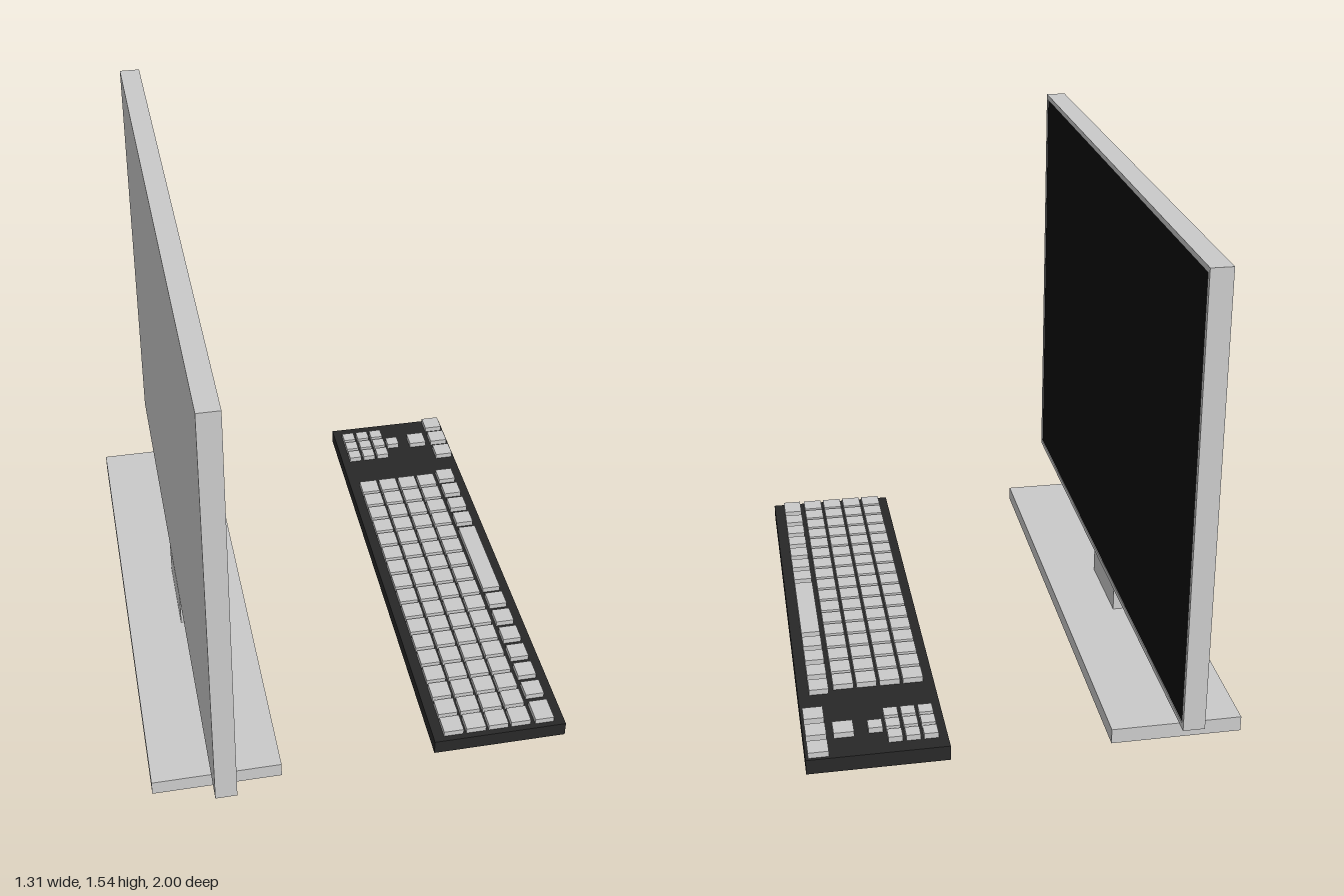
import * as THREE from 'three';

const grey = new THREE.MeshStandardMaterial({ color: 0xcccccc });
const dark = new THREE.MeshStandardMaterial({ color: 0x282828 });
const black = new THREE.MeshStandardMaterial({ color: 0x0e0e0e });

// Box given by its extents on each axis
function block(parent, name, material, [x0, x1], [y0, y1], [z0, z1]) {
  const mesh = new THREE.Mesh(new THREE.BoxGeometry(x1 - x0, y1 - y0, z1 - z0), material);
  mesh.position.set((x0 + x1) / 2, (y0 + y1) / 2, (z0 + z1) / 2);
  mesh.name = name;
  parent.add(mesh);
  return mesh;
}

function createMonitor() {
  const g = new THREE.Group();
  g.name = 'monitor';
  block(g, 'monitorBase', grey, [-0.655, -0.255], [0, 0.048], [-0.82, 0.82]);
  block(g, 'monitorNeck', grey, [-0.482, -0.428], [0.048, 0.16], [-0.14, 0.14]);
  block(g, 'monitorBody', grey, [-0.481, -0.424], [0.148, 1.541], [-1, 1]);
  block(g, 'screen', black, [-0.424, -0.418], [0.166, 1.524], [-0.984, 0.984]);

  // Thin bezel around the screen
  const bezel = [-0.424, -0.416];
  block(g, 'bezelBottom', grey, bezel, [0.148, 0.166], [-1, 1]);
  block(g, 'bezelTop', grey, bezel, [1.524, 1.541], [-1, 1]);
  block(g, 'bezelLeft', grey, bezel, [0.166, 1.524], [0.984, 1]);
  block(g, 'bezelRight', grey, bezel, [0.166, 1.524], [-1, -0.984]);
  return g;
}

function createKeyboard() {
  const g = new THREE.Group();
  g.name = 'keyboard';
  const top = 0.048;
  block(g, 'keyboardCase', dark, [0.229, 0.653], [0, top], [-0.82, 0.82]);

  const key = (name, x, z, width, length = width) =>
    block(g, name, grey, [x - width / 2, x + width / 2], [top, 0.066], [z - length / 2, z + length / 2]);

  // Main block: 4 rows of 17 keys
  for (let row = 0; row < 4; row++)
    for (let i = 0; i < 17; i++)
      key('mainKey', 0.294 + row * 0.0725, -0.437 + i * 0.0754, 0.063);

  // Bottom row with the space bar
  for (let i = 0; i < 4; i++) key('modifierKey', 0.588, -0.456 + i * 0.085, 0.06);
  key('spaceBar', 0.588, 0.019, 0.06, 0.33);
  for (let i = 0; i < 6; i++) key('modifierKey', 0.588, 0.238 + i * 0.0855, 0.06);
  key('cornerKey', 0.588, 0.763, 0.06, 0.08);

  // Small cluster, its middle line one key longer
  for (let line = 0; line < 3; line++)
    for (let i = 0; i < (line === 1 ? 4 : 3); i++)
      key('smallKey', 0.279 + i * 0.053, -0.75 + line * 0.056, 0.043);

  // Arrow keys
  for (let i = 0; i < 3; i++) key('arrowKey', 0.615, -0.78 + i * 0.086, 0.061);
  key('arrowKey', 0.533, -0.694, 0.061);
  return g;
}

export function createModel() {
  const model = new THREE.Group();
  model.name = 'computerDesktopSet';
  model.add(createMonitor(), createKeyboard());
  return model;
}
